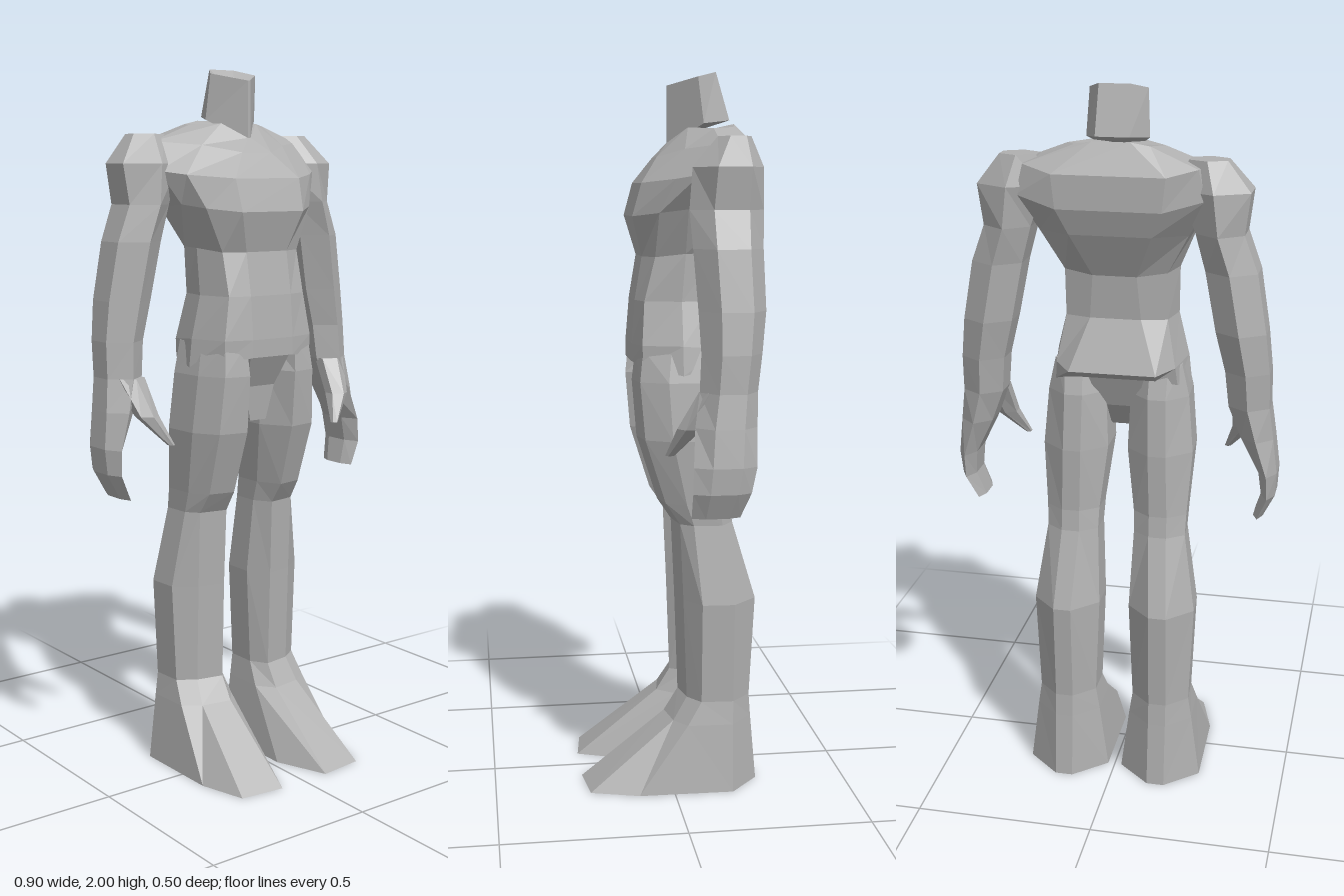
import * as THREE from 'three';

const skin = new THREE.MeshStandardMaterial({ color: 0xb0b0b0 });
skin.name = 'plain grey';

// Joins rings of [x, y, z] corners into a closed, faceted skin.
// The end caps fan around a centre, moved by endDip at the last ring.
function loft(name, rings, endDip = 0) {
  const n = rings[0].length;
  const points = rings.flat();
  const tris = [];
  for (let r = 0; r < rings.length - 1; r++) {
    for (let i = 0; i < n; i++) {
      const j = (i + 1) % n;
      const a = r * n + i, b = r * n + j, c = a + n, d = b + n;
      tris.push([a, b, d], [a, d, c]);
    }
  }
  [0, rings.length - 1].forEach((r) => {
    const mid = [0, 1, 2].map((k) => rings[r].reduce((s, p) => s + p[k], 0) / n);
    if (r) mid[1] += endDip;
    const m = points.push(mid) - 1;
    for (let i = 0; i < n; i++) {
      const a = r * n + i, b = r * n + ((i + 1) % n);
      tris.push(r ? [a, b, m] : [b, a, m]);
    }
  });
  // Turn the faces outward, whichever way the rings run
  const v = points.map((p) => new THREE.Vector3(...p));
  const volume = tris.reduce((s, [a, b, c]) => s + v[a].dot(v[b].clone().cross(v[c])), 0);
  if (volume < 0) tris.forEach((t) => t.reverse());
  const geometry = new THREE.BufferGeometry();
  geometry.setAttribute('position',
    new THREE.Float32BufferAttribute(tris.flat().flatMap((i) => points[i]), 3));
  geometry.computeVertexNormals();
  const mesh = new THREE.Mesh(geometry, skin);
  mesh.name = name;
  return mesh;
}

// Completes a left half ring, listed front to back, with its mirror image
const symmetric = (half) => [...half, ...half.map(([x, y, z]) => [-x, y, z]).reverse()];

// Level six-sided ring for arms and hands
function armRing([y, xi, xo, zf, zb], side) {
  const xm = (xi + xo) / 2, z1 = zf + (zb - zf) * 0.28, z2 = zf + (zb - zf) * 0.75;
  return [[xm, y, zf], [xo, y, z1], [xo, y, z2], [xm, y, zb], [xi, y, z2], [xi, y, z1]]
    .map(([x, h, z]) => [x * side, h, z]);
}

// Level leg ring: broad front, slanted sides, narrow ridge behind
function legRing([y, xi, xa, xb, xo, zf, zm, zs, zb], side) {
  const xm = (xi + xo) / 2;
  return [[xb, y, zf - 0.015], [xo - 0.005, y, zm], [xo, y, zs], [xm + 0.025, y, zb],
    [xm - 0.025, y, zb], [xi, y, zs], [xi, y, zm], [xa, y, zf]]
    .map(([x, h, z]) => [x * side, h, z]);
}

export function createModel() {
  const model = new THREE.Group();
  model.name = 'headlessFigure';

  // Torso, from the hips up to the slope of the shoulders
  const torso = [
    [[0.07, 1.21, 0.1], [0.15, 1.2, 0.075], [0.195, 1.18, -0.03], [0.17, 1.2, -0.13], [0.11, 1.21, -0.14]],
    [[0.07, 1.26, 0.1], [0.15, 1.26, 0.078], [0.186, 1.26, -0.03], [0.165, 1.25, -0.14], [0.12, 1.24, -0.195]],
    [[0.07, 1.38, 0.09], [0.13, 1.38, 0.07], [0.157, 1.38, -0.03], [0.14, 1.38, -0.12], [0.07, 1.38, -0.14]],
    [[0.07, 1.5, 0.07], [0.13, 1.5, 0.04], [0.16, 1.51, -0.04], [0.14, 1.51, -0.13], [0.06, 1.5, -0.15]],
    [[0.105, 1.61, 0.1], [0.18, 1.62, 0.035], [0.21, 1.63, -0.04], [0.2, 1.62, -0.16], [0.11, 1.62, -0.21]],
    [[0.11, 1.7, 0.075], [0.215, 1.71, -0.005], [0.27, 1.72, -0.06], [0.25, 1.72, -0.21], [0.14, 1.69, -0.235]],
    [[0.05, 1.77, 0.025], [0.14, 1.79, -0.04], [0.25, 1.8, -0.12], [0.23, 1.8, -0.21], [0.15, 1.78, -0.235]],
    [[0.005, 1.81, -0.01], [0.06, 1.85, -0.06], [0.13, 1.845, -0.12], [0.1, 1.85, -0.18], [0.05, 1.86, -0.19]],
  ];
  model.add(loft('torso', torso.map(symmetric)));

  // Neck stump with a hollowed top
  const neck = [
    [[0.004, 1.8, -0.01], [0.085, 1.86, -0.1], [0.045, 1.87, -0.178]],
    [[0.004, 1.965, -0.01], [0.078, 1.985, -0.085], [0.042, 2, -0.14]],
  ];
  model.add(loft('neck', neck.map(symmetric), -0.05));

  // Smooth wedge between the thighs
  const pelvis = [
    [[0.07, 1.22, 0.092], [0.08, 1.22, -0.14]],
    [[0.05, 1.12, 0.04], [0.05, 1.12, -0.1]],
    [[0.028, 1.02, 0.03], [0.028, 1.05, -0.05]],
  ];
  model.add(loft('pelvis', pelvis.map(symmetric)));

  // Rows: height, inner x, front panel x pair, outer x, front z, side z pair, back z
  const leg = [
    [1.25, 0.06, 0.085, 0.145, 0.178, 0.09, 0, -0.1, -0.13],
    [1.16, 0.035, 0.08, 0.155, 0.198, 0.1, 0.01, -0.1, -0.155],
    [1.0, 0.028, 0.08, 0.165, 0.212, 0.087, 0, -0.11, -0.168],
    [0.82, 0.05, 0.085, 0.16, 0.2, 0.03, -0.04, -0.13, -0.168],
    [0.76, 0.052, 0.083, 0.165, 0.198, -0.01, -0.06, -0.14, -0.175],
    [0.54, 0.043, 0.085, 0.165, 0.232, -0.02, -0.08, -0.17, -0.24],
    [0.255, 0.055, 0.085, 0.165, 0.22, -0.03, -0.08, -0.17, -0.225],
  ];
  const foot = [
    leg[leg.length - 1],
    [0.19, 0.045, 0.085, 0.175, 0.23, 0.01, -0.04, -0.168, -0.23],
    [0, 0.02, 0.08, 0.21, 0.255, 0.25, 0.1, -0.165, -0.247],
  ];

  // Rows: height, inner x, outer x, front z, back z
  const arm = [
    [1.82, 0.2, 0.3, -0.11, -0.2],
    [1.74, 0.18, 0.362, -0.04, -0.23],
    [1.63, 0.22, 0.348, -0.03, -0.228],
    [1.53, 0.247, 0.385, -0.035, -0.222],
    [1.37, 0.278, 0.412, -0.045, -0.225],
    [1.26, 0.305, 0.424, -0.05, -0.212],
    [1.16, 0.315, 0.426, -0.045, -0.2],
  ];
  const hand = [
    arm[arm.length - 1],
    [1.07, 0.35, 0.438, -0.03, -0.195],
    [0.97, 0.4, 0.45, -0.022, -0.19],
    [0.9, 0.408, 0.446, -0.02, -0.175],
    [0.83, 0.386, 0.413, -0.02, -0.15],
  ];
  const thumb = [
    [1.16, 0.32, 0.4, -0.045, -0.12],
    [1.06, 0.312, 0.37, 0.01, -0.06],
    [0.98, 0.285, 0.302, 0.035, 0.01],
  ];

  // Limbs on both sides
  for (const [prefix, side] of [['left', 1], ['right', -1]]) {
    for (const [part, rows, ring] of [['Leg', leg, legRing], ['Foot', foot, legRing],
      ['Arm', arm, armRing], ['Hand', hand, armRing], ['Thumb', thumb, armRing]]) {
      model.add(loft(prefix + part, rows.map((row) => ring(row, side))));
    }
  }
  return model;
}
